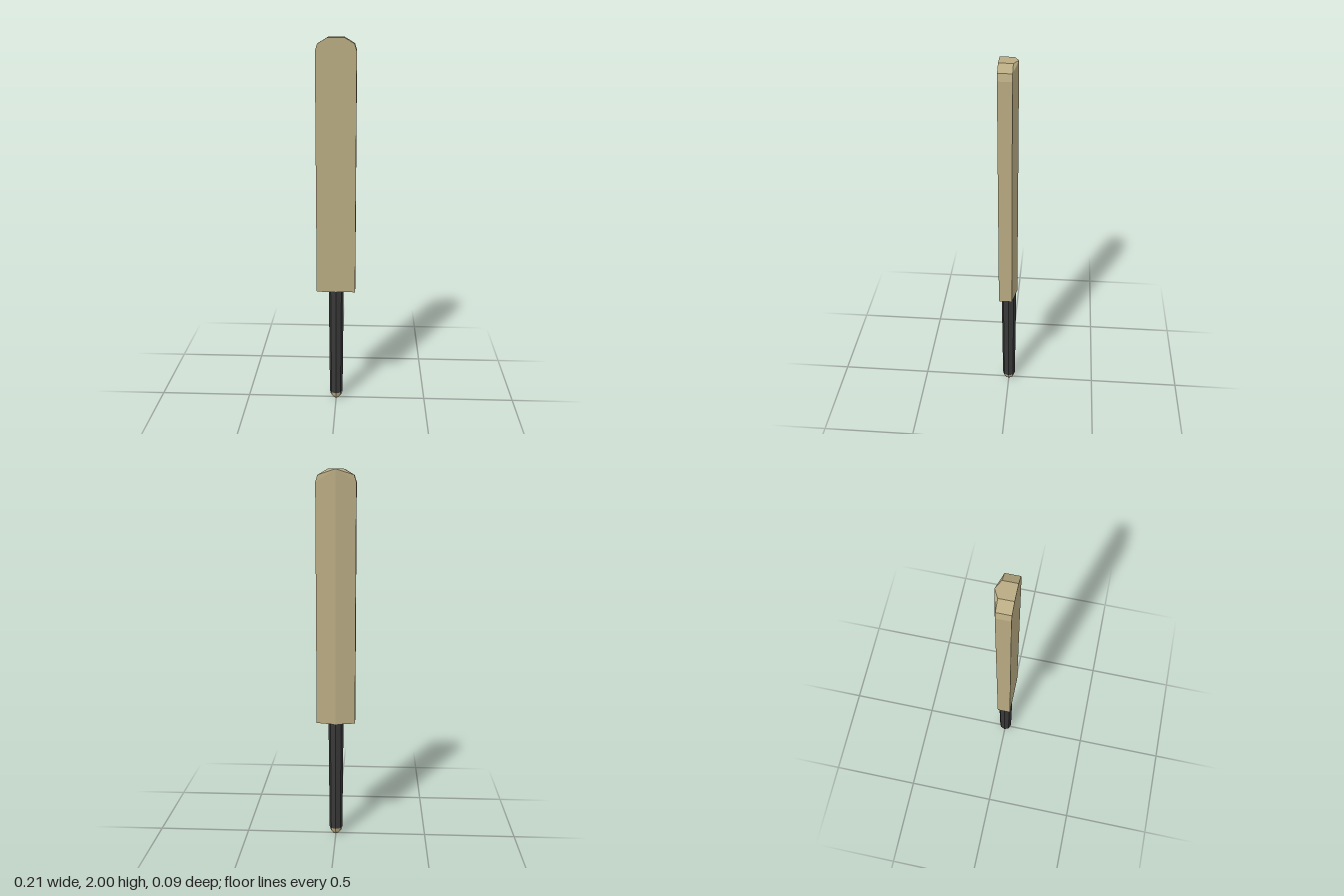
import * as THREE from 'three';

const wood = new THREE.MeshStandardMaterial({ color: 0xb8aa82, flatShading: true });
const grip = new THREE.MeshStandardMaterial({ color: 0x383838, flatShading: true });

const BASE = 0.66, FRONT = 0.047, EDGE = -0.024, RIDGE = -0.047;

// Blade: outline with a clipped toe, flat front, back rising to a central ridge
function bladeGeometry() {
  const half = [[0.104, BASE], [0.104, 1.935], [0.093, 1.97], [0.042, 2]];
  const outline = [...half, ...half.map(([x, y]) => [-x, y]).reverse()];
  const front = outline.map(([x, y]) => [x, y, FRONT]);
  const back = outline.map(([x, y]) => [x, y, EDGE]);
  const low = [0, BASE, RIDGE], high = [0, 2, RIDGE];
  const pos = [];
  const tri = (...pts) => pts.forEach((p) => pos.push(...p));
  const n = outline.length;

  // flat front face
  for (let i = 1; i < n - 1; i++) tri(front[0], front[i], front[i + 1]);
  // edges all round
  for (let i = 0; i < n; i++) {
    const j = (i + 1) % n;
    tri(front[i], back[i], back[j]);
    tri(front[i], back[j], front[j]);
  }
  // back facets fanning from the top of the ridge
  for (let i = 0; i < n - 1; i++) tri(back[i + 1], back[i], high);
  tri(back[0], low, high);
  tri(low, back[n - 1], high);
  // shoulder triangle under the ridge
  tri(back[0], back[n - 1], low);

  const geo = new THREE.BufferGeometry();
  geo.setAttribute('position', new THREE.Float32BufferAttribute(pos, 3));
  geo.computeVertexNormals();
  return geo;
}

export function createModel() {
  const group = new THREE.Group();
  const add = (name, geo, mat) => {
    const mesh = new THREE.Mesh(geo, mat);
    mesh.name = name;
    group.add(mesh);
    return mesh;
  };

  add('blade', bladeGeometry(), wood);

  // Tapered eight-sided grip
  const handle = add('handle', new THREE.CylinderGeometry(0.041, 0.036, BASE - 0.04, 8), grip);
  handle.position.y = (BASE + 0.04) / 2;

  // Rounded butt of the handle
  const profile = [[0, 0], [0.017, 0.003], [0.031, 0.02], [0.036, 0.04]];
  add('handleEnd', new THREE.LatheGeometry(profile.map(([x, y]) => new THREE.Vector2(x, y)), 8), wood);

  return group;
}
